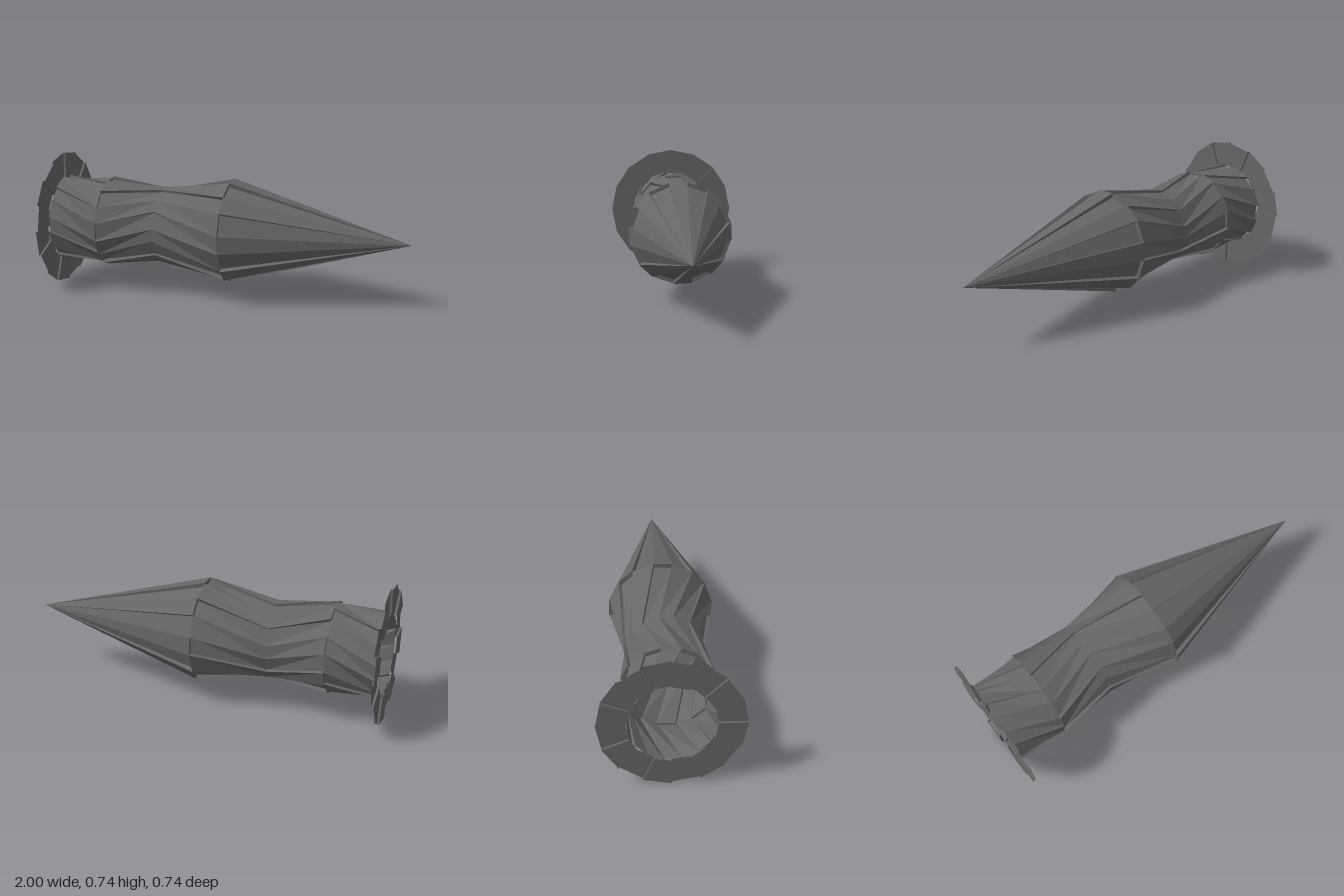
import * as THREE from 'three';

const AXIS = 0.372;   // height of the long axis
const RIBS = 8;       // raised and sunken strips alternate around the axis
const HALF_STEP = Math.PI / RIBS;
const rad = THREE.MathUtils.degToRad;

const metal = new THREE.MeshStandardMaterial({ color: 0x666666, flatShading: true, side: THREE.DoubleSide });
metal.name = 'dark grey metal';

const point = (x, r, a) => [x, AXIS + r * Math.sin(a), r * Math.cos(a)];

// Stepped cross-section: strips A (radius rA) and B (radius rB) joined by radial walls
function section({ x, turn, half, rA, rB }) {
  const pts = [];
  for (let i = 0; i < RIBS; i++) {
    const mid = rad(turn) + i * 2 * HALF_STEP, h = rad(half);
    pts.push(point(x, rB, mid - h), point(x, rA, mid - h), point(x, rA, mid + h), point(x, rB, mid + h));
  }
  return pts;
}

// Skin between two sections; the diagonal follows the twist so the strips cup inwards
function loft(out, a, b, positiveTwist) {
  const n = a.length;
  for (let i = 0; i < n; i++) {
    const j = (i + 1) % n;
    if (positiveTwist) out.push(...a[i], ...b[i], ...b[j], ...a[i], ...b[j], ...a[j]);
    else out.push(...a[i], ...b[i], ...a[j], ...a[j], ...b[i], ...b[j]);
  }
}

function mesh(name, positions) {
  const g = new THREE.BufferGeometry();
  g.setAttribute('position', new THREE.Float32BufferAttribute(positions, 3));
  g.computeVertexNormals();
  const m = new THREE.Mesh(g, metal);
  m.name = name;
  return m;
}

export function createModel() {
  const group = new THREE.Group();
  group.name = 'drill';

  const tail = { x: -0.99, turn: 25, half: 12, rA: 0.238, rB: 0.222 };
  const collarBack = { x: -0.71, turn: -3, half: 12, rA: 0.242, rB: 0.228 };
  const collarFront = { ...collarBack, rA: 0.23, rB: 0.25 };
  const waist = { x: -0.385, turn: 20, half: 13, rA: 0.2, rB: 0.213 };
  const shoulder = { x: 0.01, turn: -2.6, half: 10.2, rA: 0.263, rB: 0.284 };
  const coneBase = { ...shoulder, rA: 0.287, rB: 0.263 };
  const tip = { ...shoulder, x: 1, rA: 0, rB: 0 };

  // Lofted lengths, with flat end steps where raised and sunken strips swap
  const build = (name, ...rings) => {
    const out = [];
    for (let i = 0; i + 1 < rings.length; i++) {
      loft(out, section(rings[i]), section(rings[i + 1]), rings[i + 1].turn > rings[i].turn);
    }
    group.add(mesh(name, out));
  };
  build('rearSleeve', tail, collarBack);
  build('collarStep', collarBack, collarFront);
  build('twistedBody', collarFront, waist, shoulder);
  build('shoulderStep', shoulder, coneBase);
  build('pointedCone', coneBase, tip);

  // Sixteen flange plates, alternately set forward and back
  const flange = [];
  const quad = (a, b, c, d) => flange.push(...a, ...b, ...c, ...a, ...c, ...d);
  for (let i = 0; i < 2 * RIBS; i++) {
    const a = i * HALF_STEP, b = a + HALF_STEP;
    const x = i % 2 ? -1 : -0.988, next = i % 2 ? -0.988 : -1;
    const inner = 0.226, outer = 0.372;
    quad(point(x, inner, a), point(x, inner, b), point(x, outer, b), point(x, outer, a));
    quad(point(x, inner, b), point(next, inner, b), point(next, outer, b), point(x, outer, b));
  }
  // Face the plates forward
  for (let i = 0; i < flange.length; i += 9) {
    const [p, q, r] = [0, 3, 6].map(k => new THREE.Vector3(...flange.slice(i + k, i + k + 3)));
    if (q.clone().sub(p).cross(r.clone().sub(p)).x < 0) {
      for (let k = 3; k < 6; k++) [flange[i + k], flange[i + k + 3]] = [flange[i + k + 3], flange[i + k]];
    }
  }
  group.add(mesh('flange', flange));
  return group;
}
